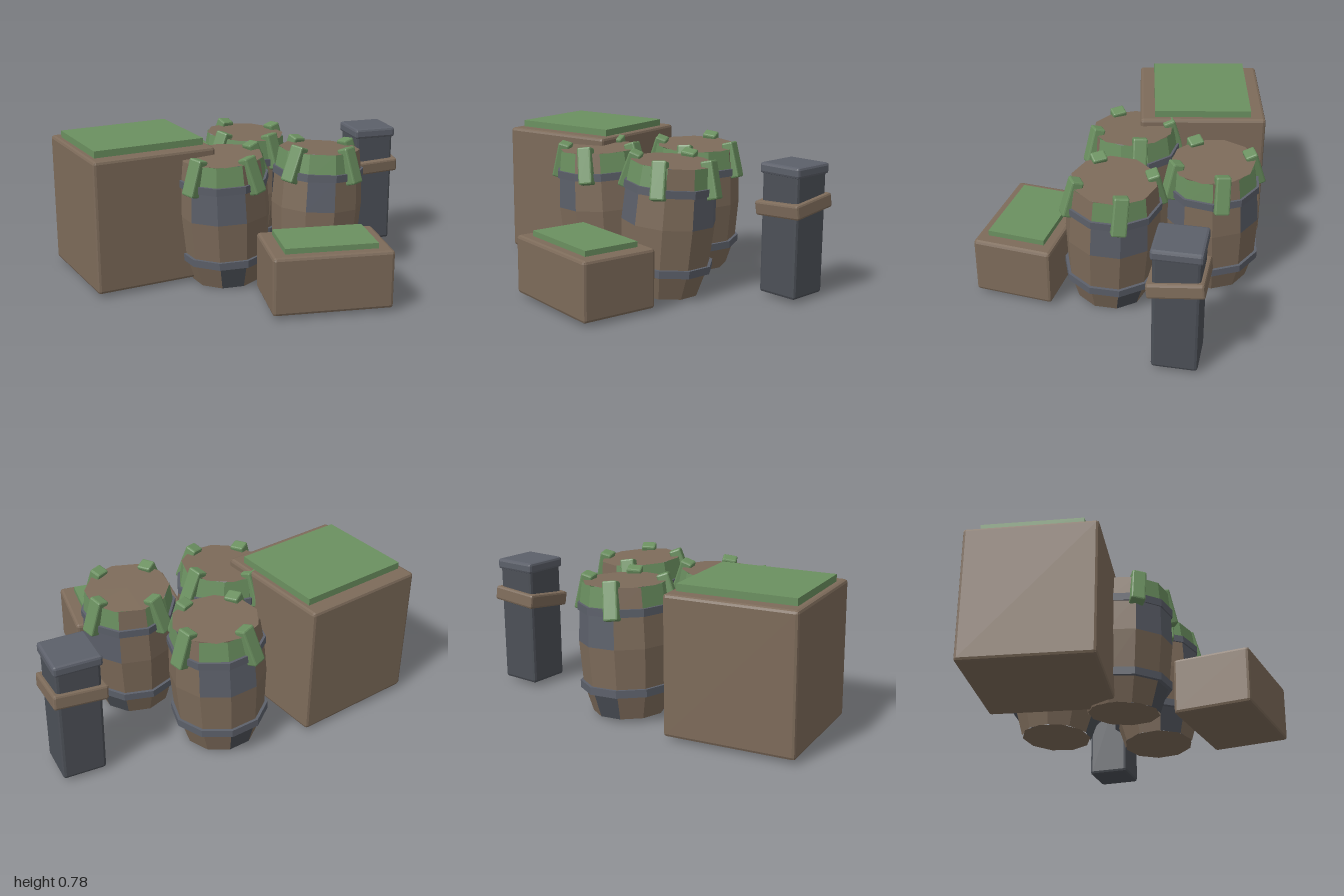
import * as THREE from 'three';
import { RoundedBoxGeometry } from 'three/addons/geometries/RoundedBoxGeometry.js';
import { mergeGeometries } from 'three/addons/utils/BufferGeometryUtils.js';

const material = (color) => new THREE.MeshStandardMaterial({ color, flatShading: true });
const wood = material(0x7d6b5a);
const cloth = material(0x6b9060);
const iron = material(0x5c606a);
const darkIron = material(0x4c5057);

function addMesh(parent, name, geometry, mat, x = 0, y = 0, z = 0) {
  const mesh = new THREE.Mesh(geometry, mat);
  mesh.name = name;
  mesh.position.set(x, y, z);
  parent.add(mesh);
  return mesh;
}

// box with a single chamfer along every edge
const chamferBox = (w, h, d, r) => new RoundedBoxGeometry(w, h, d, 1, r);

// crate with a cloth panel on its lid
function crate(name, x, z, turn, [w, h, d], [pw, ph, pd]) {
  const g = new THREE.Group();
  g.name = name;
  g.position.set(x, 0.015, z);
  g.rotation.y = turn;
  addMesh(g, 'crateBody', chamferBox(w, h, d, 0.016), wood, 0, h / 2, 0);
  addMesh(g, 'topPanel', new THREE.BoxGeometry(pw, ph * 2, pd), cloth, 0, h, 0);
  return g;
}

// ten-sided barrel: stave rings as [height, radius]
const SIDES = 10;
const STEP = (Math.PI * 2) / SIDES;
const RINGS = [[0, 0.19], [0.15, 0.235], [0.38, 0.25], [0.56, 0.24], [0.69, 0.222]];

// material of one stave panel, by level (bottom to top) and side
function panelMaterial(level, k) {
  if (level === 0) return [3, 8].includes(k) ? darkIron : wood;
  if (level === 2) return [2, 3, 9].includes(k) ? iron : wood;
  if (level === 3) return [1, 4].includes(k) ? wood : cloth;
  return wood;
}

function hoop(y, r, start) {
  const profile = [[r - 0.03, y - 0.02], [r + 0.014, y - 0.02], [r + 0.014, y + 0.02], [r - 0.03, y + 0.02]];
  const points = profile.map(([a, b]) => new THREE.Vector2(a, b));
  return new THREE.LatheGeometry(points, SIDES, start);
}

function barrel(name, bottom, top, turnDegrees) {
  const g = new THREE.Group();
  g.name = name;
  const start = THREE.MathUtils.degToRad(turnDegrees);
  g.position.set(bottom[0], 0.008, bottom[1]);
  const axis = new THREE.Vector3(top[0] - bottom[0], 0.69, top[1] - bottom[1]).normalize();
  g.quaternion.setFromUnitVectors(new THREE.Vector3(0, 1, 0), axis);

  // staves, merged by material
  const panels = new Map([[wood, []], [cloth, []], [iron, []], [darkIron, []]]);
  for (let level = 0; level < RINGS.length - 1; level++) {
    const [y0, r0] = RINGS[level];
    const [y1, r1] = RINGS[level + 1];
    for (let k = 0; k < SIDES; k++) {
      const panel = new THREE.CylinderGeometry(r1, r0, y1 - y0, 1, 1, true, start + k * STEP, STEP);
      panel.translate(0, (y0 + y1) / 2, 0);
      panels.get(panelMaterial(level, k)).push(panel);
    }
  }
  for (const [mat, list] of panels) addMesh(g, 'staves', mergeGeometries(list), mat);

  // end discs and hoops
  for (const [y, r, flip] of [[0, 0.19, 1], [0.69, 0.222, -1]]) {
    const disc = new THREE.CircleGeometry(r, SIDES, flip * (start + Math.PI / 2) + Math.PI);
    disc.rotateX(flip * Math.PI / 2);
    addMesh(g, flip > 0 ? 'bottomDisc' : 'lid', disc, wood, 0, y, 0);
  }
  addMesh(g, 'lowerHoop', hoop(0.15, 0.238, start), iron);
  addMesh(g, 'upperHoop', hoop(0.565, 0.236, start), iron);

  // clips leaning over the rim
  [202, 109, 28, -57].forEach((degrees, i) => {
    const a = THREE.MathUtils.degToRad(degrees);
    const clip = addMesh(g, 'rimClip', chamferBox(0.078, 0.2, 0.065, 0.009), cloth,
      Math.sin(a) * 0.222, 0.625, Math.cos(a) * 0.222);
    clip.rotation.set(-0.3, a, i % 2 ? -0.1 : 0.1, 'YXZ');
  });
  return g;
}

// square post with cap and crooked collar
function post() {
  const g = new THREE.Group();
  g.name = 'post';
  g.position.set(0.85, 0.015, -0.413);
  addMesh(g, 'postShaft', chamferBox(0.23, 0.67, 0.23, 0.016), darkIron, 0, 0.335, 0);
  addMesh(g, 'postCap', chamferBox(0.25, 0.058, 0.25, 0.014), iron, 0, 0.66, 0);
  const collar = addMesh(g, 'postCollar', chamferBox(0.28, 0.078, 0.28, 0.012), wood, 0, 0.472, 0);
  collar.rotation.set(0.12, 0, 0.06);
  return g;
}

export function createModel() {
  const model = new THREE.Group();
  model.name = 'cargoPile';
  model.add(
    crate('largeCrate', -0.6, -0.307, 0.18, [0.69, 0.722, 0.685], [0.62, 0.037, 0.525]),
    crate('smallCrate', 0.235, 0.472, -0.12, [0.63, 0.31, 0.425], [0.485, 0.029, 0.31]),
    barrel('rightBarrel', [0.348, 0.022], [0.385, -0.005], 2),
    barrel('leftBarrel', [-0.145, -0.018], [-0.175, 0.005], -132),
    barrel('backBarrel', [0.075, -0.485], [0.105, -0.47], 61),
    post(),
  );
  return model;
}
